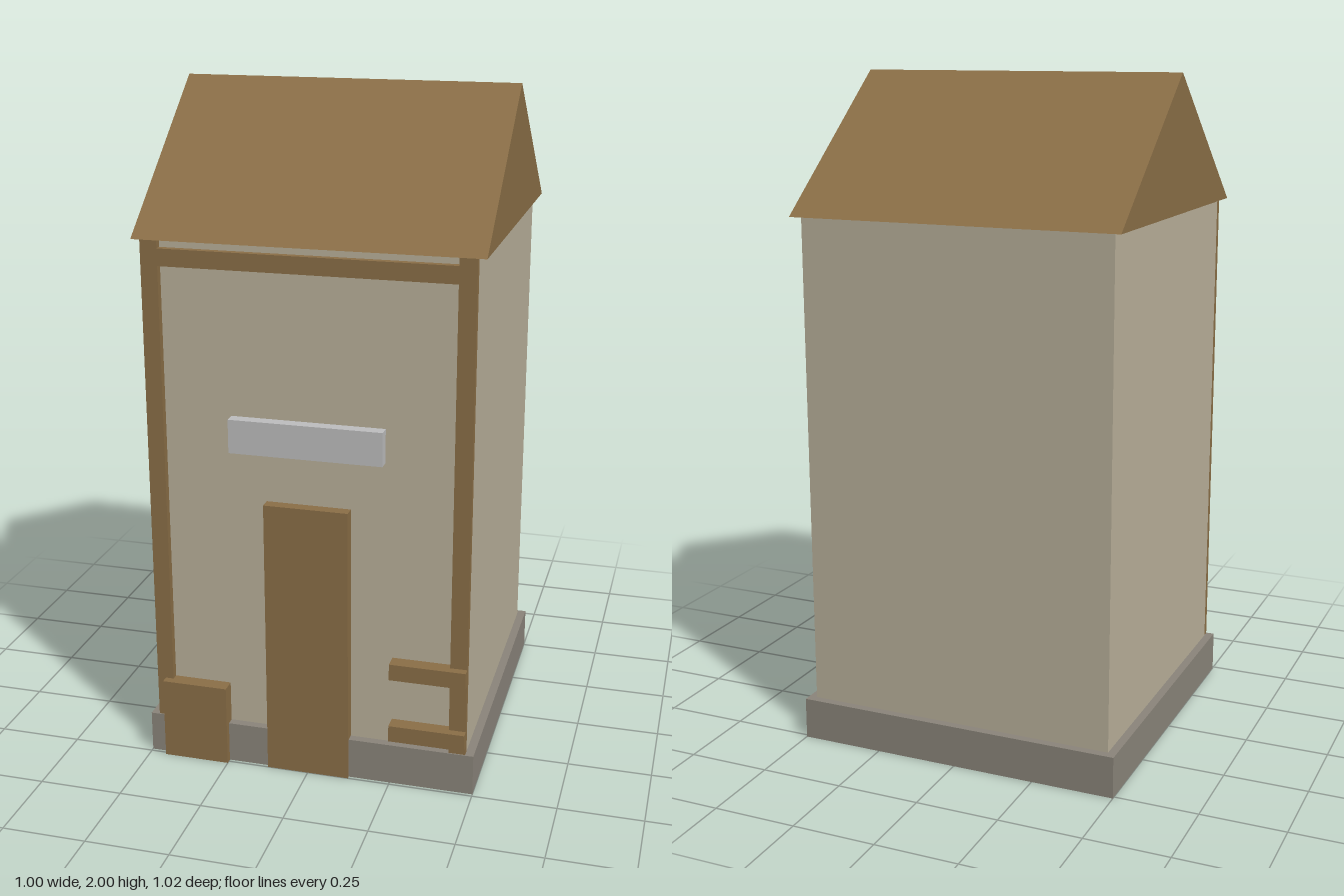
import * as THREE from 'three';

const mat = (name, color) => {
  const m = new THREE.MeshStandardMaterial({ color });
  m.name = name;
  return m;
};

export function createModel() {
  const house = new THREE.Group();
  house.name = 'house';
  const wood = mat('wood', 0x8b6f47);
  const plaster = mat('plaster', 0xbab19b);
  const stone = mat('stone', 0x8b857b);
  const pale = mat('pale grey', 0xbebebf);

  // Box given by its min and max on each axis
  const box = (name, material, [x0, x1], [y0, y1], [z0, z1]) => {
    const mesh = new THREE.Mesh(new THREE.BoxGeometry(x1 - x0, y1 - y0, z1 - z0), material);
    mesh.position.set((x0 + x1) / 2, (y0 + y1) / 2, (z0 + z1) / 2);
    mesh.name = name;
    house.add(mesh);
  };
  const wallZ = 0.465;

  // Main body
  box('foundation', stone, [-0.5, 0.5], [0, 0.125], [-0.51, 0.49]);
  box('walls', plaster, [-0.475, 0.475], [0.12, 1.602], [-0.485, wallZ]);

  // Gable roof: triangle in (z, y) extruded along x
  const gable = new THREE.Shape([
    new THREE.Vector2(-0.49, 1.6),
    new THREE.Vector2(0.51, 1.6),
    new THREE.Vector2(0.01, 2),
  ]);
  const roofGeometry = new THREE.ExtrudeGeometry(gable, { depth: 1, bevelEnabled: false });
  roofGeometry.translate(0, 0, -0.5).rotateY(Math.PI / 2);
  const roof = new THREE.Mesh(roofGeometry, wood);
  roof.name = 'roof';
  house.add(roof);

  // Timber frame on the front
  box('rightPost', wood, [-0.475, -0.425], [0.12, 1.6], [wallZ, 0.486]);
  box('leftPost', wood, [0.425, 0.475], [0.12, 1.6], [wallZ, 0.486]);
  box('crossBeam', wood, [-0.425, 0.425], [1.527, 1.577], [wallZ, 0.486]);

  // Door, sign board and front fittings
  box('door', wood, [-0.125, 0.125], [0, 0.85], [wallZ, 0.5]);
  box('signBoard', pale, [-0.225, 0.225], [1, 1.1], [wallZ, 0.501]);
  box('crate', wood, [-0.45, -0.25], [0, 0.25], [wallZ, 0.51]);
  for (const y of [0.15, 0.35]) box('shelf', wood, [0.25, 0.475], [y, y + 0.05], [wallZ, 0.51]);

  return house;
}
